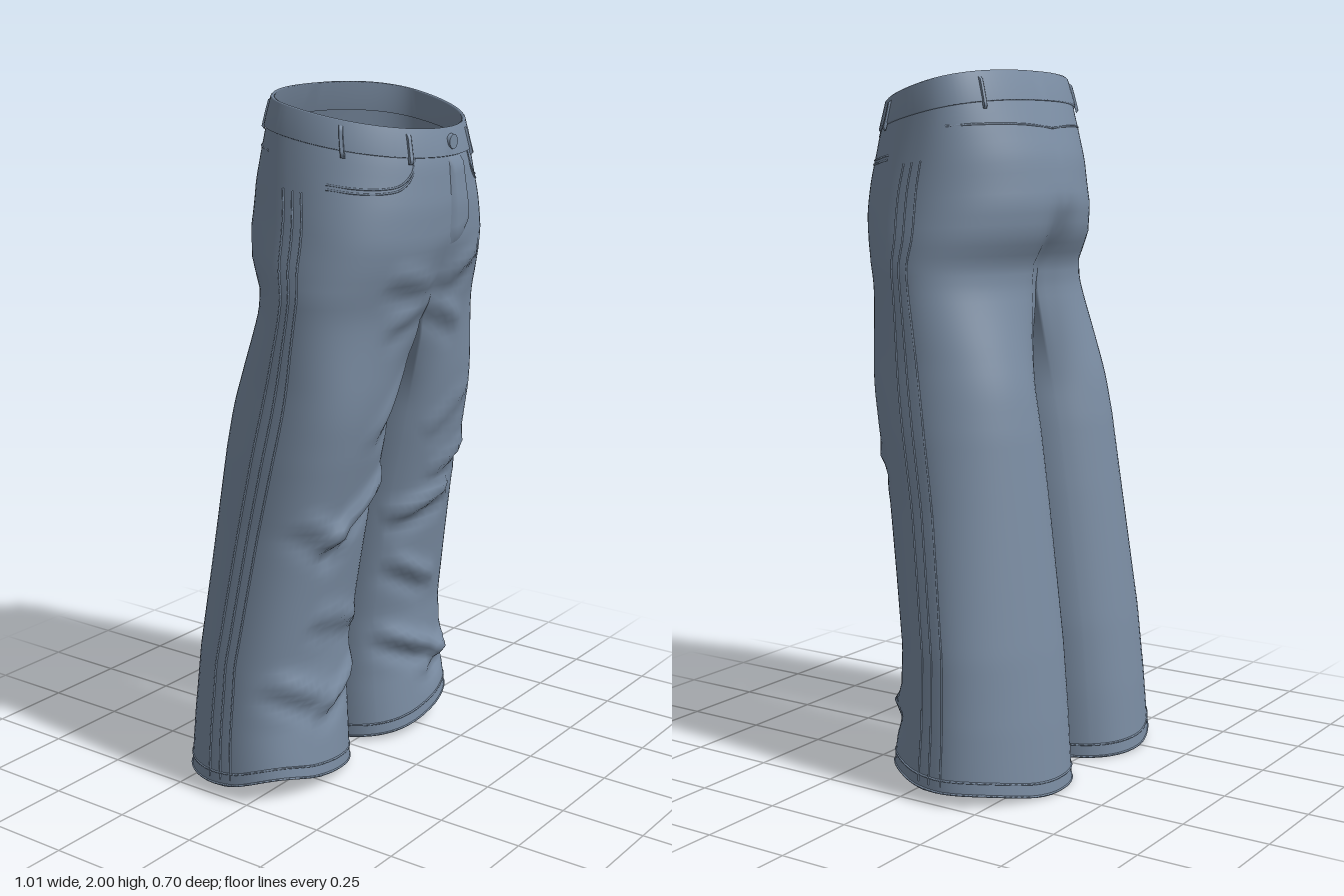
import * as THREE from 'three';
import { mergeGeometries, mergeVertices } from 'three/addons/utils/BufferGeometryUtils.js';

const denim = new THREE.MeshStandardMaterial({ color: 0x7a8ca2, side: THREE.DoubleSide });
denim.name = 'denim blue';

// Sections by level: [level, outer x, front z, back z, inner x]
const CROTCH = 1.46;
const SECTIONS = [
  [0, 0.503, 0.11, -0.348, 0.02], [0.2, 0.49, 0.094, -0.332, 0.016],
  [0.4, 0.475, 0.094, -0.312, 0.012], [0.6, 0.455, 0.126, -0.287, 0.01],
  [0.8, 0.435, 0.16, -0.262, 0.008], [1.0, 0.42, 0.208, -0.236, 0.006],
  [1.2, 0.4, 0.248, -0.2, 0.004], [1.4, 0.388, 0.283, -0.168, 0.001],
  [1.46, 0.385, 0.3, -0.172, 0], [1.54, 0.376, 0.322, -0.215, 0],
  [1.62, 0.363, 0.336, -0.228, 0], [1.75, 0.345, 0.342, -0.205, 0],
  [1.89, 0.328, 0.334, -0.155, 0], [2, 0.314, 0.312, -0.115, 0],
];

// Cloth folds on the front: [x1, y1, x2, y2, height]
const FOLDS = [
  [-0.22, 1.52, 0, 1.46, 0.013], [0.22, 1.55, 0, 1.46, 0.013],
  [-0.2, 1.37, 0, 1.42, 0.012], [0.19, 1.33, 0, 1.42, 0.012],
  [-0.2, 1.04, -0.01, 1.24, 0.012], [-0.35, 0.74, -0.04, 0.94, 0.026],
  [-0.4, 0.85, -0.2, 0.72, 0.018], [-0.33, 0.55, -0.06, 0.46, 0.016],
  [-0.45, 0.37, -0.22, 0.25, 0.022], [-0.3, 0.22, -0.03, 0.34, 0.02],
  [0.04, 0.74, 0.3, 0.8, 0.026], [0.38, 0.94, 0.16, 0.85, 0.018],
  [0.07, 0.6, 0.3, 0.48, 0.018], [0.06, 0.36, 0.42, 0.2, 0.024],
  [0.24, 0.17, 0.44, 0.26, 0.018], [0.1, 1.0, 0.3, 1.12, 0.01],
];

// Eased 0..1 ramp from a to b, in either direction
const ramp = (a, b, v) => {
  const f = THREE.MathUtils.clamp((v - a) / (b - a), 0, 1);
  return f * f * (3 - 2 * f);
};
const bump = (d, w) => Math.exp(-((d / w) ** 2));
const spow = (v, e) => Math.sign(v) * Math.abs(v) ** e;

function section(L) {
  let i = 0;
  while (i < SECTIONS.length - 2 && SECTIONS[i + 1][0] < L) i++;
  const a = SECTIONS[i], b = SECTIONS[i + 1];
  const f = (L - a[0]) / (b[0] - a[0]);
  return a.map((v, k) => v + (b[k] - v) * f);
}

function foldHeight(x, y) {
  let sum = 0;
  for (const [x1, y1, x2, y2, h] of FOLDS) {
    const dx = x2 - x1, dy = y2 - y1, len = Math.hypot(dx, dy);
    const s = ((x - x1) * dx + (y - y1) * dy) / (len * len);
    if (s <= 0 || s >= 1) continue;
    const q = ((y - y1) * dx - (x - x1) * dy) / len * Math.sign(dx);
    sum += h * (1 - (2 * s - 1) ** 4) * (bump(q, 0.028) - 0.6 * bump(q + 0.045, 0.03));
  }
  return sum;
}

// Cloth surface: t 0..1 runs centre front, outer side, centre back; t 1..2 is the inner leg
function cloth(side, t, L, off = 0) {
  const [, xo, zf, zb, xi] = section(L);
  const waist = ramp(1.6, 2, L);
  const c = (zf + zb) / 2 - 0.065 * waist;
  let x, z, y = L;
  if (t <= 1) {
    // Boxier in front at the hips, rounder at the waist
    const e = t < 0.5 ? 0.8 + 0.18 * waist : 0.98 - 0.13 * waist;
    x = t === 1 ? 0 : xo * spow(Math.sin(Math.PI * t), e);
    z = c + (t < 0.5 ? zf - c : c - zb) * spow(Math.cos(Math.PI * t), e);
    // Seat cleft and slight hollow at the front of the crotch
    const hollow = bump(x, 0.06) * ramp(1.66, 1.48, L);
    z += t > 0.5 ? 0.04 * hollow : -0.012 * hollow;
  } else {
    x = 0;
    const f = zf - 0.012, b = zb + 0.04;
    z = b + (f - b) * (t - 1);
    y -= 0.04 * Math.sin(Math.PI * (t - 1)) * ramp(1.2, CROTCH, L);
  }
  if (L < CROTCH) {
    // The half hip section rounds off into a leg tube, flat in front, its back fullest inward
    const w = ramp(CROTCH, 1.08, L);
    const phi = t <= 1 ? Math.PI * (1.5 * t - 0.25) : Math.PI * (1.25 + 0.5 * (t - 1));
    const sn = Math.sin(phi), cs = Math.cos(phi), e = cs > 0 ? 0.76 : 1;
    const skew = cs < 0 ? 0.05 * cs * cs * (1 - L / CROTCH) : 0;
    x += ((xo + xi) / 2 + (xo - xi) / 2 * spow(sn, e) - skew - x) * w;
    z += (c + (zf - zb) / 2 * spow(cs, e) - z) * w;
  }
  // Waist dips to the front, hem lifts at the front and outer side
  y -= 0.24 * (z + 0.12) * THREE.MathUtils.clamp((L - CROTCH) / 0.54, 0, 1);
  const hem = ramp(0.3, 0, L), outer = ramp(0.05, 0.45, x);
  y += hem * (ramp(-0.1, 0.11, z) * (0.015 + 0.03 * outer) + 0.035 * ramp(0.25, 0.5, x));
  const front = ramp(0.1, 0.7, (z - c) / (zf - c));
  if (L < 1.7) z += front * foldHeight(side * x, y);
  if (off) {
    const cx = L < CROTCH ? (xo + xi) / 2 : 0, r = z > c ? zf - c : c - zb;
    const nx = (x - cx) / (xo - cx) ** 2, nz = (z - c) / r ** 2, n = Math.hypot(nx, nz) || 1;
    x += off * nx / n;
    z += off * nz / n;
  }
  return new THREE.Vector3(side * x, y, z);
}

// Surface grid from a rule of u and v, both 0..1
function grid(rule, nu, nv, flip = false) {
  const pos = [], idx = [];
  for (let j = 0; j <= nv; j++)
    for (let i = 0; i <= nu; i++) pos.push(...rule(i / nu, j / nv).toArray());
  for (let j = 0; j < nv; j++)
    for (let i = 0; i < nu; i++) {
      const a = j * (nu + 1) + i, b = a + 1, d = a + nu + 1, e = d + 1;
      idx.push(...(flip ? [a, d, b, b, d, e] : [a, b, d, b, e, d]));
    }
  const g = new THREE.BufferGeometry();
  g.setAttribute('position', new THREE.Float32BufferAttribute(pos, 3));
  g.setIndex(idx);
  return g;
}

function join(list) {
  const g = mergeVertices(mergeGeometries(list), 1e-4);
  g.computeVertexNormals();
  return g;
}

export function createModel() {
  const model = new THREE.Group();
  const add = (name, geometry) => {
    const mesh = new THREE.Mesh(geometry, denim);
    mesh.name = name;
    model.add(mesh);
    return mesh;
  };
  // Raised stitch line through [t, level] points
  const seam = (name, side, pts, n = 40, closed = false) => {
    const curve = new THREE.CatmullRomCurve3(pts.map(([t, L]) => cloth(side, t, L)), closed);
    add(name, new THREE.TubeGeometry(curve, n, 0.003, 5, closed));
  };
  // Raised cloth patch with its rim sunk into the surface
  const patch = (name, side, t0, t1, L0, L1, off, base = 0, round = 0) => {
    const g = grid((u, v) => {
      const rim = u === 0 || u === 1 || v === 0 || v === 1;
      const low = L0 + round * u * u;
      return cloth(side, t0 + (t1 - t0) * u, low + (L1 - low) * v, rim ? base : off);
    }, 10, 10, side < 0);
    g.computeVertexNormals();
    add(name, g);
  };

  // Seat and both legs as one smooth cloth
  const body = [];
  for (const s of [1, -1]) {
    body.push(grid((u, v) => cloth(s, u, CROTCH + (1.96 - CROTCH) * v), 44, 18, s < 0));
    body.push(grid((u, v) => cloth(s, u * 2, CROTCH * v), 88, 60, s < 0));
  }
  add('trouserBody', join(body));

  // Waistband with thickness
  const profile = [[1.91, 0], [1.913, 0.007], [1.996, 0.006], [2, 0.003], [1.996, -0.005], [1.91, -0.005]];
  add('waistband', join([1, -1].map((s) => grid((u, v) => {
    const [L, off] = profile[Math.round(v * 5)];
    return cloth(s, u, L, off);
  }, 40, 5, s < 0))));

  // Fly and waist button
  patch('fly', 1, 0.002, 0.068, 1.61, 1.91, 0.008, 0, 0.07);
  const button = add('waistButton', new THREE.CylinderGeometry(0.02, 0.022, 0.01, 16));
  button.rotation.x = Math.PI / 2;
  button.position.copy(cloth(1, 0.02, 1.955, 0.009));

  for (const s of [1, -1]) {
    // Belt loops
    for (const t of [0.135, 0.33, 0.75])
      patch('beltLoop', s, t, t + 0.014, 1.89, 1.985, 0.013, 0.004);
    // Front pocket opening, doubled stitching
    for (const d of [0, 0.014])
      seam('pocketEdge', s, [[0.125, 1.91], [0.135, 1.865 - d], [0.17, 1.825 - d], [0.23, 1.81 - d],
        [0.31, 1.805 - d], [0.39, 1.805 - d]]);
    // Back yoke
    seam('yokeSeam', s, [[1, 1.83], [0.9, 1.84], [0.8, 1.845], [0.7, 1.85], [0.6, 1.855]]);
    // Side seams and inseams
    const levels = Array.from({ length: 24 }, (_, i) => 0.02 + i * 0.076);
    for (const t of [0.465, 0.49, 0.515]) seam('sideSeam', s, levels.map((L) => [t, L]), 70);
    for (const t of [1.42, 1.58])
      seam('inseam', s, levels.filter((L) => L < 1.25).map((L) => [t, L]), 50);
    // Hem stitching
    const around = Array.from({ length: 40 }, (_, i) => i / 20);
    for (const L of [0.004, 0.04]) seam('hemStitch', s, around.map((t) => [t, L]), 80, true);
  }
  return model;
}
